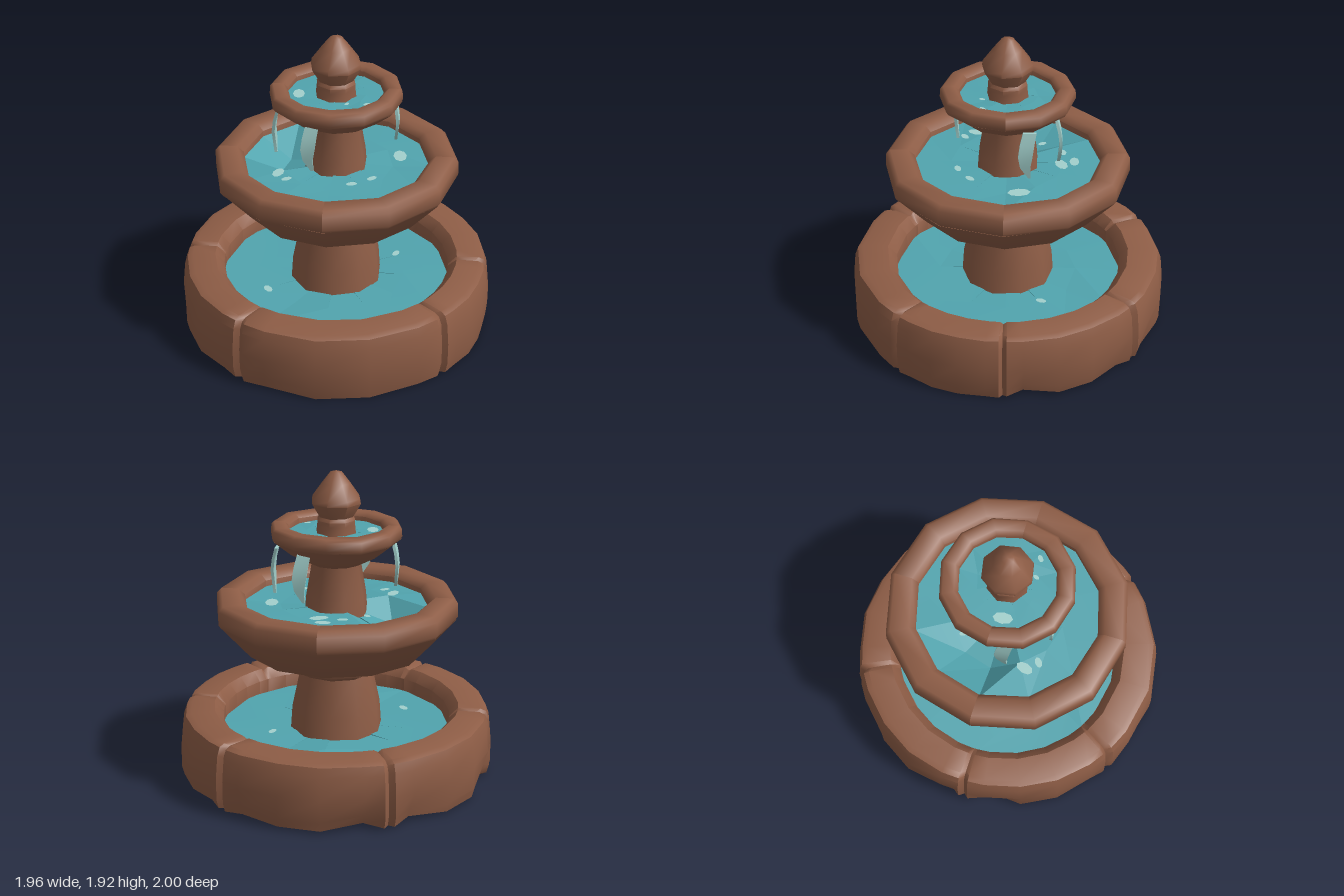
import * as THREE from 'three';
import { toCreasedNormals } from 'three/addons/utils/BufferGeometryUtils.js';

const TAU = Math.PI * 2;
const rad = (d) => (d * Math.PI) / 180;
// repeatable noise in -1..1
const noise = (a, b = 0) => {
  const s = Math.sin(a * 127.1 + b * 311.7 + 4.3) * 43758.5453;
  return (s - Math.floor(s)) * 2 - 1;
};

// Sweeps a profile of [radius, y] through the given angles; warp may shift each point.
function sweep(profile, angles, { closed = false, warp, crease = 0.75 } = {}) {
  const n = profile.length, pos = [], idx = [];
  angles.forEach((a, i) => profile.forEach(([r, y], j) => {
    const [R, Y] = warp ? warp(r, y, i, j) : [r, y];
    pos.push(R * Math.cos(a), Y, R * Math.sin(a));
  }));
  const rows = closed ? n : n - 1;
  for (let i = 0; i < angles.length - 1; i++) {
    for (let j = 0; j < rows; j++) {
      const k = (j + 1) % n;
      const a = i * n + j, b = i * n + k, c = a + n, d = b + n;
      idx.push(a, b, c, b, d, c);
    }
  }
  const g = new THREE.BufferGeometry();
  g.setAttribute('position', new THREE.Float32BufferAttribute(pos, 3));
  g.setIndex(idx);
  return toCreasedNormals(g, crease);
}

const circle = (sides, offset = 0) =>
  Array.from({ length: sides + 1 }, (_, i) => offset + (i / sides) * TAU);

export function createModel() {
  const stone = new THREE.MeshStandardMaterial({ color: 0x8e5d46, side: THREE.DoubleSide });
  stone.name = 'brown stone';
  const water = new THREE.MeshStandardMaterial({ color: 0x51a4ae, side: THREE.DoubleSide });
  water.name = 'teal water';
  const foam = new THREE.MeshStandardMaterial({ color: 0xa2d0cc, side: THREE.DoubleSide });
  foam.name = 'pale foam';

  const model = new THREE.Group();
  model.name = 'fountain';
  const add = (name, geometry, material, parent = model) => {
    const mesh = new THREE.Mesh(geometry, material);
    mesh.name = name;
    parent.add(mesh);
    return mesh;
  };

  // Basin wall: six worn stones meeting at narrow grooves, chipped near the ground
  const wall = new THREE.Group();
  wall.name = 'basinWall';
  model.add(wall);
  const wallProfile = [[0.965, 0.008], [0.98, 0.08], [0.98, 0.22], [0.965, 0.36], [0.945, 0.415], [0.91, 0.43],
    [0.77, 0.43], [0.715, 0.37], [0.715, 0.16], [0.76, 0.05], [0.84, 0.015]];
  const joints = [0, 42, 121, 180, 243, 306, 360];
  const steps = [0, 0.03, 0.14, 0.38, 0.62, 0.86, 0.97, 1];
  for (let s = 0; s < 6; s++) {
    const angles = steps.map((t) => rad(joints[s] + (joints[s + 1] - joints[s]) * t));
    const warp = (r, y, i, j) => {
      const end = i === 0 || i === 7;
      const outer = j < 6;
      let R = r + (outer ? Math.abs(Math.sin(angles[i])) * 0.015 : 0);
      let Y = y;
      if (end) {
        R -= outer ? 0.03 : 0;
        Y -= j > 3 && j < 7 ? 0.015 : 0;
      } else if (outer) {
        R += noise(s * 7 + Math.min(i, 5), 2) * 0.006;
      }
      if (j < 2 && (i === 2 || i === 5)) {
        const chip = 0.5 + 0.5 * noise(s * 3 + i, 8);
        R -= 0.08 * chip;
        Y += 0.03 * chip;
      }
      if (j === 0 && Math.sin(angles[i]) < -0.01) Y += 0.015;
      return [R, Y];
    };
    add('wallStone', sweep(wallProfile, angles, { closed: true, warp }), stone, wall);
  }

  // Basin floor with a square opening
  const floorAngles = circle(12, Math.PI / 4);
  add('basinFloor', sweep([[0.24, 0.215], [0.73, 0.215]], floorAngles, {
    warp: (r, y, i, j) => [j ? r : (r * Math.SQRT1_2) / Math.cos(((i % 3) / 3 - 0.5) * Math.PI / 2), y],
  }), stone);

  // Pedestal and collar
  add('pedestal', sweep([[0.295, 0.22], [0.28, 0.43], [0.23, 0.66], [0.29, 0.695], [0.3, 0.76]],
    circle(10, 0.3), { crease: 0.9 }), stone);

  // Rims: stones separated by shallow pinched joints
  const rimStones = (name, profile, sides, cuts) => {
    const group = new THREE.Group();
    group.name = name;
    model.add(group);
    const per = sides / cuts;
    for (let s = 0; s < cuts; s++) {
      const angles = Array.from({ length: per + 1 }, (_, i) => ((s * per + i) / sides) * TAU);
      const warp = (r, y, i, j) => {
        const end = i === 0 || i === per;
        return [r - (end && j < 4 ? 0.006 : 0), y + (end ? 0 : noise(s, i) * 0.004)];
      };
      add('rimStone', sweep(profile, angles, { closed: true, warp, crease: 0.9 }), stone, group);
    }
  };

  // Middle bowl
  add('middleBowl', sweep([[0.22, 0.73], [0.29, 0.745], [0.56, 0.81], [0.745, 1.02]],
    circle(12), { crease: 1.2 }), stone);
  rimStones('middleRim', [[0.74, 1.015], [0.76, 1.04], [0.758, 1.125], [0.73, 1.156], [0.615, 1.156],
    [0.575, 1.12], [0.575, 1.03]], 12, 4);

  // Upper column and bowl
  add('upperColumn', sweep([[0.2, 1.04], [0.19, 1.16], [0.155, 1.36], [0.16, 1.4]],
    circle(8, 0.39), { crease: 0.9 }), stone);
  add('upperBowl', sweep([[0.12, 1.35], [0.16, 1.36], [0.29, 1.43], [0.4, 1.52]],
    circle(12), { crease: 1.2 }), stone);
  rimStones('upperRim', [[0.396, 1.515], [0.41, 1.535], [0.406, 1.585], [0.388, 1.602], [0.32, 1.602],
    [0.295, 1.58], [0.295, 1.52]], 12, 2);

  // Finial
  add('finial', sweep([[0.13, 1.53], [0.122, 1.6], [0.122, 1.63], [0.108, 1.65], [0.158, 1.735], [0.153, 1.765],
    [0.088, 1.855], [0.037, 1.92], [0, 1.93]], circle(8, 0.2), { crease: 0.9 }), stone);

  // Water: faceted, gently uneven discs; dips lists the corners that sink
  const waterDisc = (name, radius, y, wave, seed, dips = []) => {
    const sides = 12;
    const warp = (r, h, i, j) => {
      const dip = j === 1 && dips.includes(i % sides) ? 0.1 : 0;
      return [r, h - dip + (j === 0 ? 0 : noise(seed + (i % sides), j) * wave)];
    };
    add(name, sweep([[radius, y], [radius * 0.6, y], [0, y]], circle(sides), { warp, crease: 0.05 }), water);
  };
  waterDisc('basinWater', 0.725, 0.285, 0.014, 1);
  waterDisc('middleWater', 0.585, 1.085, 0.016, 5, [6, 7]);
  waterDisc('upperWater', 0.305, 1.55, 0.006, 9);

  // Foam patches: [x, z, y, size, turn]
  const patches = [
    [0.02, -0.41, 1.104, 0.05, 0], [0.055, -0.33, 1.104, 0.06, 0.4], [-0.09, -0.34, 1.104, 0.035, 0.2],
    [0.39, -0.08, 1.104, 0.07, 1.7], [-0.33, 0.21, 1.104, 0.055, 1.3], [-0.27, 0.28, 1.104, 0.035, 0.6],
    [0.125, 0.3, 1.104, 0.035, 0.3], [0.24, 0.22, 1.104, 0.035, 0.8], [-0.22, -0.21, 1.09, 0.03, 2.2],
    [-0.22, 0.04, 1.56, 0.06, 1.7], [0.2, 0.14, 1.56, 0.025, 0.7], [0.08, 0.15, 1.56, 0.02, 1.2],
    [0.37, -0.22, 0.302, 0.035, 1.2], [-0.4, 0.28, 0.302, 0.04, 2.2],
  ];
  for (const [x, z, y, size, turn] of patches) {
    const g = new THREE.CircleGeometry(size, 8);
    g.scale(1, 0.6, 1).rotateX(-Math.PI / 2).rotateY(turn).translate(x, y, z);
    add('foamPatch', g, foam);
  }

  // Falling streams: tapered ribbons hanging from the upper bowl
  const streamGeometry = (side, out) => {
    const g = new THREE.BoxGeometry(1, 1, 1, 1, 4, 1);
    const p = g.attributes.position;
    const curve = [-0.025, -0.005, 0.005, 0, -0.008];
    const width = [0.08, 0.085, 0.085, 0.06, 0.015];
    const slant = [0.02, 0.005, -0.005, -0.005, 0.02];
    for (let i = 0; i < p.count; i++) {
      const k = Math.round((0.5 - p.getY(i)) * 4);
      p.setXYZ(i, side + p.getX(i) * width[k] + slant[k], 1.48 - k * 0.073, out + curve[k] + p.getZ(i) * 0.018);
    }
    return toCreasedNormals(g, 0.7);
  };
  // [turn in degrees, sideways shift, distance out]
  for (const [turn, side, out] of [[0, -0.13, 0.32], [90, 0.12, 0.365], [180, -0.17, 0.32], [270, 0.08, 0.365]]) {
    add('fallingStream', streamGeometry(side, out), foam).rotation.y = rad(turn);
  }

  return model;
}
